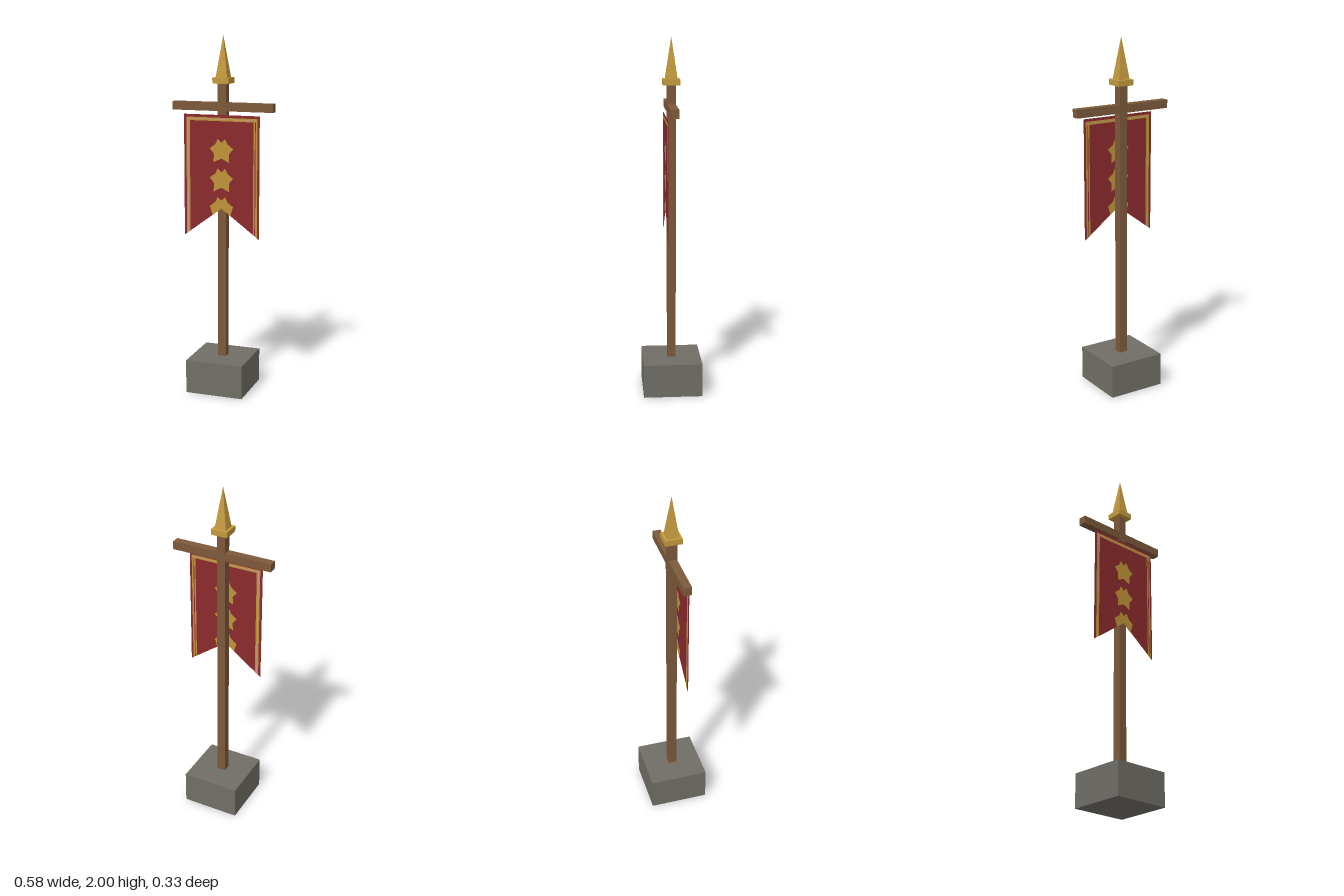
import * as THREE from 'three';

const paint = (name, color, extra = {}) => {
  const m = new THREE.MeshStandardMaterial({ color, ...extra });
  m.name = name;
  return m;
};

export function createModel() {
  const model = new THREE.Group();
  model.name = 'bannerPole';
  const flat = { flatShading: true };
  const open = { side: THREE.DoubleSide };
  const stone = paint('stone', 0x706e66, flat);
  const wood = paint('wood', 0x7d593b, flat);
  const gold = paint('gold', 0xc49a3e, flat);
  const red = paint('redCloth', 0x8b2a2d, open);
  const thread = paint('goldThread', 0xbf9438, open);
  const pale = paint('paleThread', 0xd09a88, open);

  const add = (name, geometry, material, parent = model) => {
    const mesh = new THREE.Mesh(geometry, material);
    mesh.name = name;
    parent.add(mesh);
    return mesh;
  };
  const box = (name, w, y0, y1, d, material) => {
    add(name, new THREE.BoxGeometry(w, y1 - y0, d), material).position.y = (y0 + y1) / 2;
  };

  // Stone foot, square pole, crossbar and collar
  box('base', 0.33, 0, 0.19, 0.33, stone);
  box('pole', 0.048, 0.19, 1.74, 0.048, wood);
  box('crossbar', 0.58, 1.59, 1.636, 0.046, wood);
  box('collar', 0.094, 1.74, 1.772, 0.094, gold);

  // Four-sided spear tip
  const tip = new THREE.ConeGeometry(0.033 * Math.SQRT2, 0.228, 4);
  tip.rotateY(Math.PI / 4);
  add('spearTip', tip, gold).position.y = 1.886;

  // Swallow-tailed cloth hanging just in front of the pole
  const banner = new THREE.Group();
  banner.name = 'banner';
  banner.position.z = 0.031;
  model.add(banner);
  const shape = (points) =>
    new THREE.ShapeGeometry(new THREE.Shape(points.map(([x, y]) => new THREE.Vector2(x, y))));
  const tailY = (x) => 1.05 - 0.744 * Math.abs(x);
  const W = 0.219;
  add('cloth', shape([[-W, 1.57], [-W, tailY(W)], [0, 1.05], [W, tailY(W)], [W, 1.57]]), red, banner);

  // Flat decorations repeated on both faces of the cloth
  const decorate = (name, points, material, lift = 0.0015) => {
    for (const s of [-1, 1]) add(name, shape(points), material, banner).position.z = s * lift;
  };
  const strip = (name, x0, x1, material, lift) =>
    decorate(name, [[x0, 1.553], [x0, tailY(x0)], [x1, tailY(x1)], [x1, 1.553]], material, lift);
  const bar = (name, y0, y1, material, lift) =>
    decorate(name, [[-0.205, y0], [0.205, y0], [0.205, y1], [-0.205, y1]], material, lift);

  // Border: gold lines, with pale stitching on the right side and top
  strip('borderLeftOuter', 0.197, 0.207, thread);
  strip('borderLeftInner', 0.184, 0.192, thread);
  strip('borderRight', -0.205, -0.184, thread);
  strip('stitchRight', -0.198, -0.193, pale, 0.0025);
  bar('borderTop', 1.536, 1.555, thread);
  bar('stitchTop', 1.544, 1.548, pale, 0.0025);

  // Stars with a split top point; the lowest is cut by the tail notch
  const mirror = (half) => [
    ...half,
    ...half.filter(([x]) => x > 0).reverse().map(([x, y]) => [-x, y]),
  ];
  const upper = [[0, 0.045], [0.022, 0.066], [0.035, 0.037], [0.068, 0.012], [0.043, -0.018]];
  const star = mirror([...upper, [0.046, -0.065], [0, -0.042]]);
  const cutStar = mirror([...upper.slice(0, 4), [0.052, -0.0387], [0, 0]]);
  const at = (points, y) => points.map(([x, py]) => [x, py + y]);
  decorate('starTop', at(star, 1.373), thread);
  decorate('starMiddle', at(star, 1.21), thread);
  decorate('starBottom', at(cutStar, 1.05), thread);

  return model;
}
